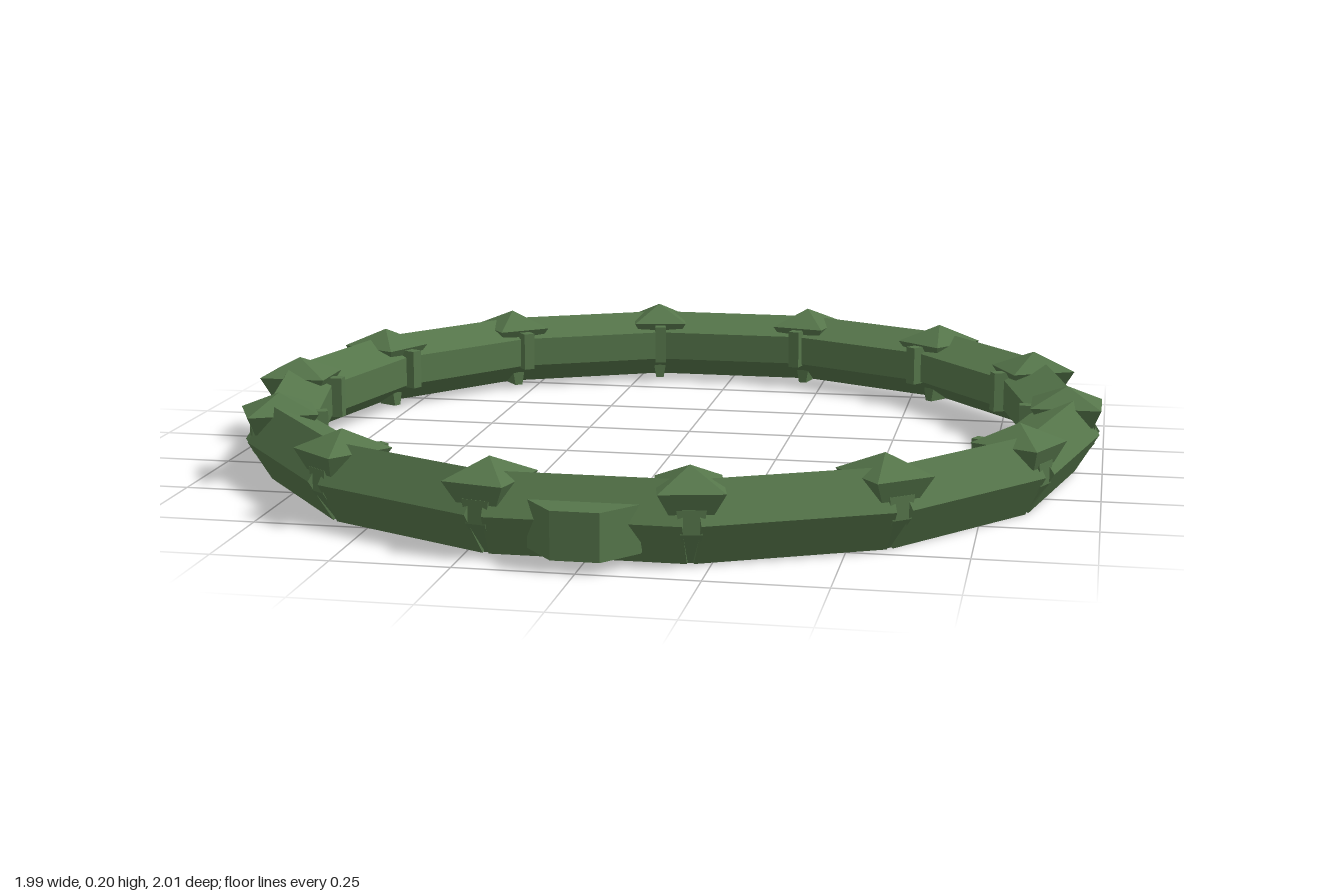
import * as THREE from 'three';

const SIDES = 14;
const green = new THREE.MeshStandardMaterial({ color: 0x55754a, flatShading: true });
green.name = 'green';

// Extrudes a [radius, height] section along x, centred; radius runs along +z
function bar(section, length) {
  const shape = new THREE.Shape(section.map(([r, y]) => new THREE.Vector2(r, y)));
  const geo = new THREE.ExtrudeGeometry(shape, { depth: length, bevelEnabled: false });
  geo.translate(0, 0, -length / 2);
  geo.rotateY(-Math.PI / 2);
  return geo;
}

// Stacks rectangles [y, halfWidth, zInner, zOuter] from bottom to top
function stack(levels) {
  const pos = [], index = [];
  for (const [y, w, z0, z1] of levels) pos.push(-w, y, z1, w, y, z1, w, y, z0, -w, y, z0);
  for (let i = 0; i < levels.length - 1; i++) {
    for (let j = 0; j < 4; j++) {
      const a = i * 4 + j, b = i * 4 + (j + 1) % 4;
      index.push(a, b, b + 4, a, b + 4, a + 4);
    }
  }
  const top = (levels.length - 1) * 4;
  index.push(0, 2, 1, 0, 3, 2, top, top + 1, top + 2, top, top + 2, top + 3);
  const geo = new THREE.BufferGeometry();
  geo.setAttribute('position', new THREE.Float32BufferAttribute(pos, 3));
  geo.setIndex(index);
  const flat = geo.toNonIndexed();
  flat.computeVertexNormals();
  return flat;
}

export function createModel() {
  const group = new THREE.Group();
  group.name = 'segmentedRing';
  const ring = new THREE.Group();
  ring.name = 'ring';
  ring.position.z = -0.025;
  group.add(ring);

  const add = (parent, name, geo) => {
    const mesh = new THREE.Mesh(geo, green);
    mesh.name = name;
    parent.add(mesh);
  };

  // Straight faceted bars, leaving small notches at the outer corners
  const segmentGeo = bar([[0.916, 0], [0.97, 0.09], [0.916, 0.172], [0.815, 0.132], [0.815, 0.06]], 0.404);
  // Pointed cap with a flared rim, and a slim stem through each joint
  const capGeo = stack([
    [0.11, 0.045, 0.86, 0.975],
    [0.155, 0.068, 0.835, 0.993],
    [0.196, 0.001, 0.914, 0.916],
  ]);
  const outerStemGeo = stack([
    [0.0, 0.01, 0.88, 0.93],
    [0.07, 0.022, 0.88, 0.98],
    [0.12, 0.03, 0.88, 0.98],
  ]);
  const innerStemGeo = stack([[0.055, 0.014, 0.808, 0.9], [0.15, 0.014, 0.808, 0.9]]);

  for (let i = 0; i < SIDES; i++) {
    const step = (Math.PI * 2) / SIDES;
    const segment = new THREE.Group();
    segment.name = 'segment';
    segment.rotation.y = i * step;
    add(segment, 'segmentBar', segmentGeo);
    ring.add(segment);

    const joint = new THREE.Group();
    joint.name = 'joint';
    joint.rotation.y = (i + 0.5) * step;
    add(joint, 'jointCap', capGeo);
    add(joint, 'outerStem', outerStemGeo);
    add(joint, 'innerStem', innerStemGeo);
    ring.add(joint);
  }

  // Front clasp: a six-sided block passing through the front bar
  const outline = [[-0.05, -1], [0.05, -1], [0.115, -0.92], [0.115, -0.85], [0.05, -0.77], [-0.05, -0.77], [-0.115, -0.85], [-0.115, -0.92]];
  const claspGeo = new THREE.ExtrudeGeometry(
    new THREE.Shape(outline.map(([x, y]) => new THREE.Vector2(x, y))),
    { depth: 0.1, bevelEnabled: false });
  claspGeo.rotateX(-Math.PI / 2);
  claspGeo.translate(0, 0.025, 0);
  add(group, 'clasp', claspGeo);

  return group;
}
